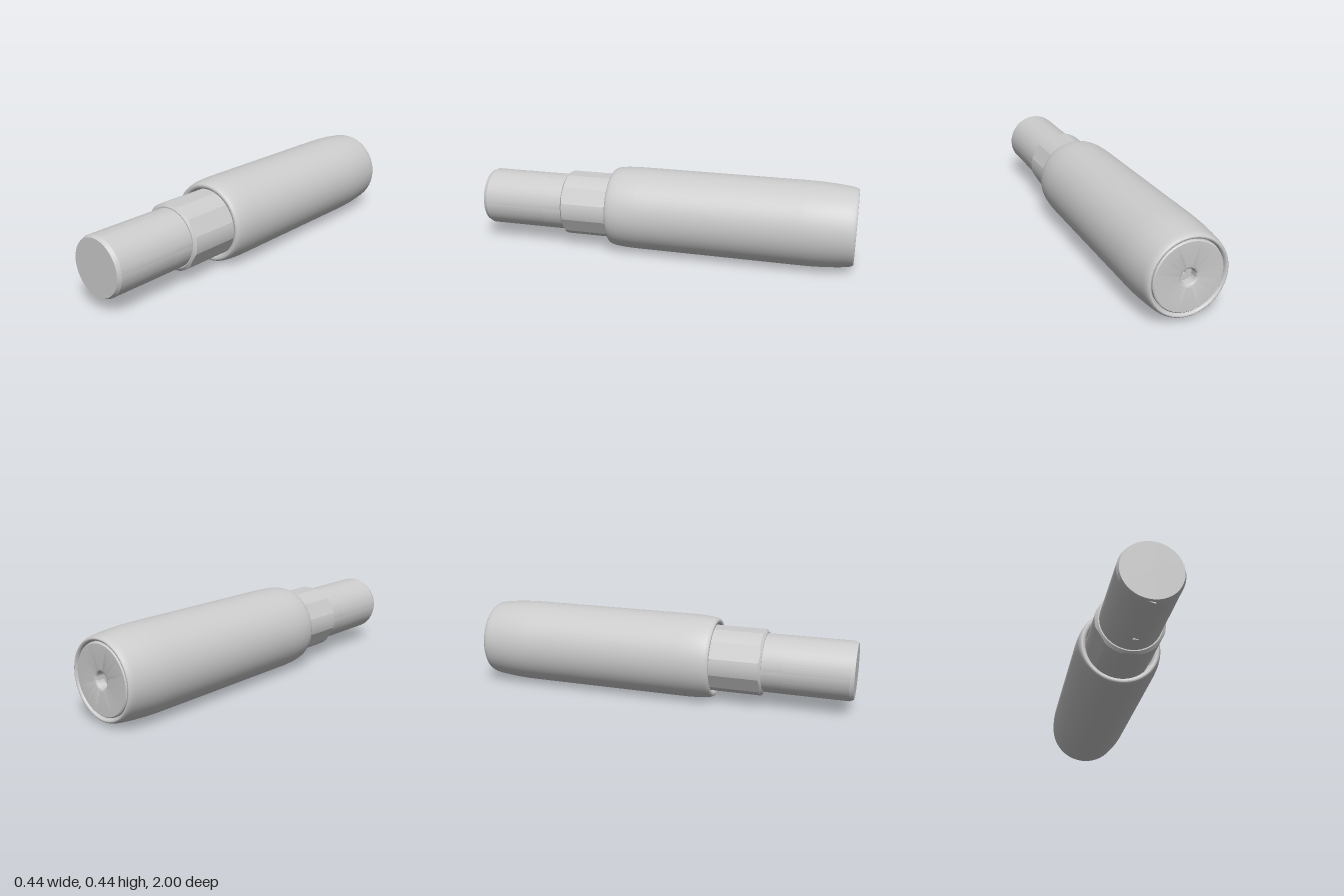
import * as THREE from 'three';
import { toCreasedNormals } from 'three/addons/utils/BufferGeometryUtils.js';

const material = new THREE.MeshStandardMaterial({ color: 0xcccccc, side: THREE.DoubleSide });
const AXIS_Y = 0.22;

function addMesh(group, name, geometry, crease = 0.45) {
  const mesh = new THREE.Mesh(toCreasedNormals(geometry, crease), material);
  mesh.name = name;
  group.add(mesh);
}

// Profile points are (radius, z), listed from the back to the front.
function turned(points, phiStart = 0, phiLength = Math.PI * 2) {
  return new THREE.LatheGeometry(points, 96, phiStart, phiLength).rotateX(Math.PI / 2);
}
const pts = (list) => list.map(([r, z]) => new THREE.Vector2(r, z));

// Hexagon with its corners turned round and its front edge chamfered by a cone.
function hexCollar(apothem, radius, zBack, zFront, faceRadius) {
  const half = Math.acos(apothem / radius);
  const steps = 8;
  const ring = [];
  for (let k = 0; k < 6; k++) {
    const mid = Math.PI / 6 + k * Math.PI / 3;
    for (let i = 0; i < steps; i++) {
      const d = half * (2 * i / steps - 1);
      ring.push([mid + d, apothem / Math.cos(d)]);
    }
    for (let i = 0; i < steps; i++) {
      ring.push([mid + half + (Math.PI / 3 - 2 * half) * i / steps, radius]);
    }
  }
  const rows = [
    (r) => [r, zBack],
    (r) => [r, zFront - (r - faceRadius) * 0.8],
    () => [faceRadius, zFront],
    () => [0.001, zFront],
  ];
  const positions = [], index = [], n = ring.length;
  rows.forEach((row, j) => ring.forEach(([a, r], i) => {
    const [rr, z] = row(r);
    positions.push(rr * Math.cos(a), rr * Math.sin(a), z);
    if (j === 0) return;
    const next = (i + 1) % n, p = (j - 1) * n, q = j * n;
    index.push(p + i, p + next, q + next, p + i, q + next, q + i);
  }));
  const geometry = new THREE.BufferGeometry();
  geometry.setAttribute('position', new THREE.Float32BufferAttribute(positions, 3));
  geometry.setIndex(index);
  geometry.computeVertexNormals();
  return geometry;
}

export function createModel() {
  const model = new THREE.Group();
  model.name = 'handle';
  const body = new THREE.Group();
  body.name = 'body';
  body.position.y = AXIS_Y;
  model.add(body);

  // Rounded grip sleeve with a rolled front lip and a short bore
  const grip = new THREE.Path();
  grip.moveTo(0.177, -0.98);
  grip.lineTo(0.18, -0.993);
  grip.quadraticCurveTo(0.183, -1, 0.19, -1);
  grip.quadraticCurveTo(0.201, -0.998, 0.206, -0.96);
  grip.quadraticCurveTo(0.22, -0.85, 0.22, -0.74);
  grip.lineTo(0.22, 0.12);
  grip.quadraticCurveTo(0.22, 0.22, 0.211, 0.262);
  grip.quadraticCurveTo(0.206, 0.284, 0.194, 0.284);
  grip.quadraticCurveTo(0.178, 0.284, 0.175, 0.262);
  grip.lineTo(0.175, 0.2);
  grip.lineTo(0.1, 0.2);
  addMesh(body, 'grip', turned(grip.getPoints(8)));

  // End cap with a flared central hole and a small pilot hole
  const cap = new THREE.Path();
  cap.moveTo(0.001, -0.92);
  cap.lineTo(0.008, -0.92);
  cap.lineTo(0.008, -0.95);
  cap.lineTo(0.038, -0.95);
  cap.lineTo(0.038, -0.985);
  cap.quadraticCurveTo(0.039, -0.996, 0.052, -0.997);
  cap.lineTo(0.169, -0.997);
  cap.lineTo(0.174, -0.992);
  cap.lineTo(0.174, -0.975);
  cap.lineTo(0.179, -0.975);
  addMesh(body, 'endCap', turned(cap.getPoints(6)));

  // Wrench collar
  addMesh(body, 'hexCollar', hexCollar(0.167, 0.173, 0.2, 0.545, 0.158), 0.2);

  // Shaft: plain neck, keyed section open to the front, chamfered tip
  const R = 0.152, floor = 0.143, slotAngle = 0.1;
  addMesh(body, 'shaftNeck', turned(pts([[R, 0.53], [R, 0.65], [0.001, 0.65]])));

  const slotX = R * Math.sin(slotAngle);
  const keyed = new THREE.Shape();
  keyed.moveTo(slotX, -floor);
  keyed.absarc(0, 0, R, -Math.PI / 2 + slotAngle, Math.PI * 1.5 - slotAngle, false);
  keyed.lineTo(-slotX, -floor);
  keyed.closePath();
  const keyedGeometry = new THREE.ExtrudeGeometry(keyed, {
    depth: 0.33, bevelEnabled: false, curveSegments: 96,
  }).translate(0, 0, 0.65);
  addMesh(body, 'keyedShaft', keyedGeometry);

  addMesh(body, 'tipChamfer',
    turned(pts([[R, 0.98], [floor, 1]]), slotAngle, Math.PI * 2 - 2 * slotAngle));
  addMesh(body, 'shaftTip', turned(pts([[floor, 0.97], [floor, 1], [0.001, 1]])));

  return model;
}
